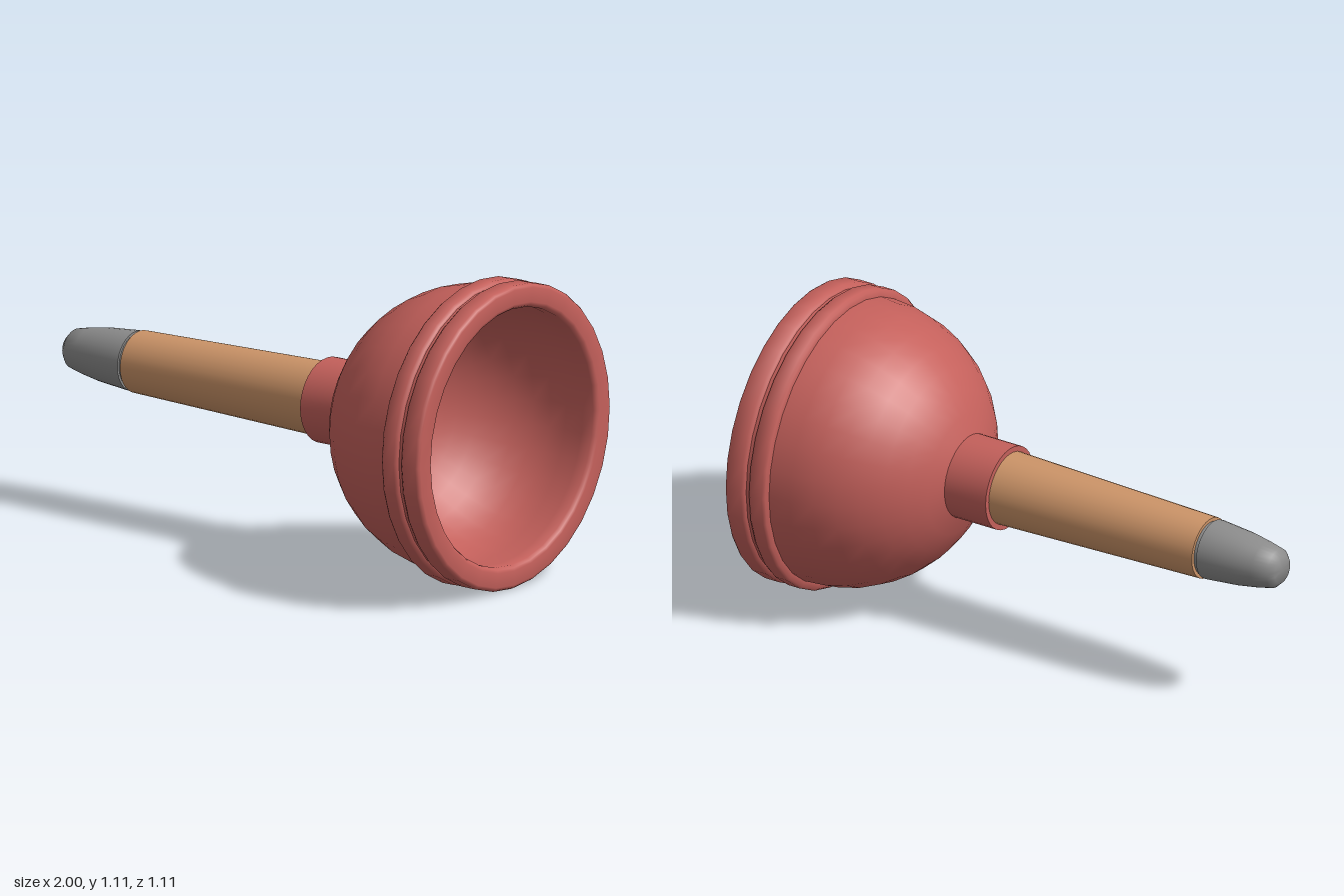
import * as THREE from 'three';
import { toCreasedNormals } from 'three/addons/utils/BufferGeometryUtils.js';

const SIDES = 32;

function material(name, color) {
  const m = new THREE.MeshStandardMaterial({ color });
  m.name = name;
  return m;
}

// Turned part: each profile point is [position along the axis, radius]
function turned(name, profile, mat) {
  const points = profile.map(([x, r]) => new THREE.Vector2(r, x));
  const geometry = toCreasedNormals(new THREE.LatheGeometry(points, SIDES), 1.1);
  geometry.rotateZ(-Math.PI / 2);
  const mesh = new THREE.Mesh(geometry, mat);
  mesh.name = name;
  return mesh;
}

// Points along an elliptical arc; angle 0 is the pole facing -x
function arc(centre, depth, radius, from, to, steps) {
  return Array.from({ length: steps + 1 }, (_, i) => {
    const a = from + (to - from) * i / steps;
    return [centre - depth * Math.cos(a), Math.abs(radius * Math.sin(a))];
  });
}

export function createModel() {
  const rubber = material('red rubber', 0xc4605b);
  const wood = material('light wood', 0xcc9468);
  const grip = material('grey cap', 0x8c8c8c);

  const model = new THREE.Group();
  model.name = 'plunger';
  const axis = new THREE.Group();
  axis.name = 'turnedParts';
  axis.position.y = 0.555;
  model.add(axis);

  // Rubber cup: outer dome, two rim bands with a groove, rolled lip, shallower hollow inside
  axis.add(turned('cup', [
    ...arc(0.83, 0.525, 0.525, 0.28, Math.PI / 2, 8),
    [0.832, 0.547], [0.842, 0.555], [0.89, 0.555], [0.9, 0.547],
    [0.903, 0.54], [0.917, 0.54],
    [0.92, 0.547], [0.93, 0.555], [0.988, 0.555], [0.997, 0.549], [1, 0.54],
    [1, 0.488], [0.997, 0.477], [0.985, 0.469], [0.94, 0.469],
    ...arc(0.86, 0.42, 0.475, Math.PI / 2, 0, 10),
  ], rubber));

  // Socket holding the handle
  axis.add(turned('collar', [
    [0.155, 0], [0.155, 0.155], [0.34, 0.155],
  ], rubber));

  // Tapered wooden handle
  axis.add(turned('handle', [
    [-0.69, 0], [-0.69, 0.113], [0.17, 0.135],
  ], wood));

  // End cap with a narrow neck against the handle
  axis.add(turned('endCap', [
    [-1, 0], [-1, 0.05], [-0.978, 0.072], [-0.92, 0.085], [-0.84, 0.098],
    [-0.715, 0.109], [-0.705, 0.109], [-0.705, 0.1], [-0.68, 0.1],
  ], grip));

  return model;
}
